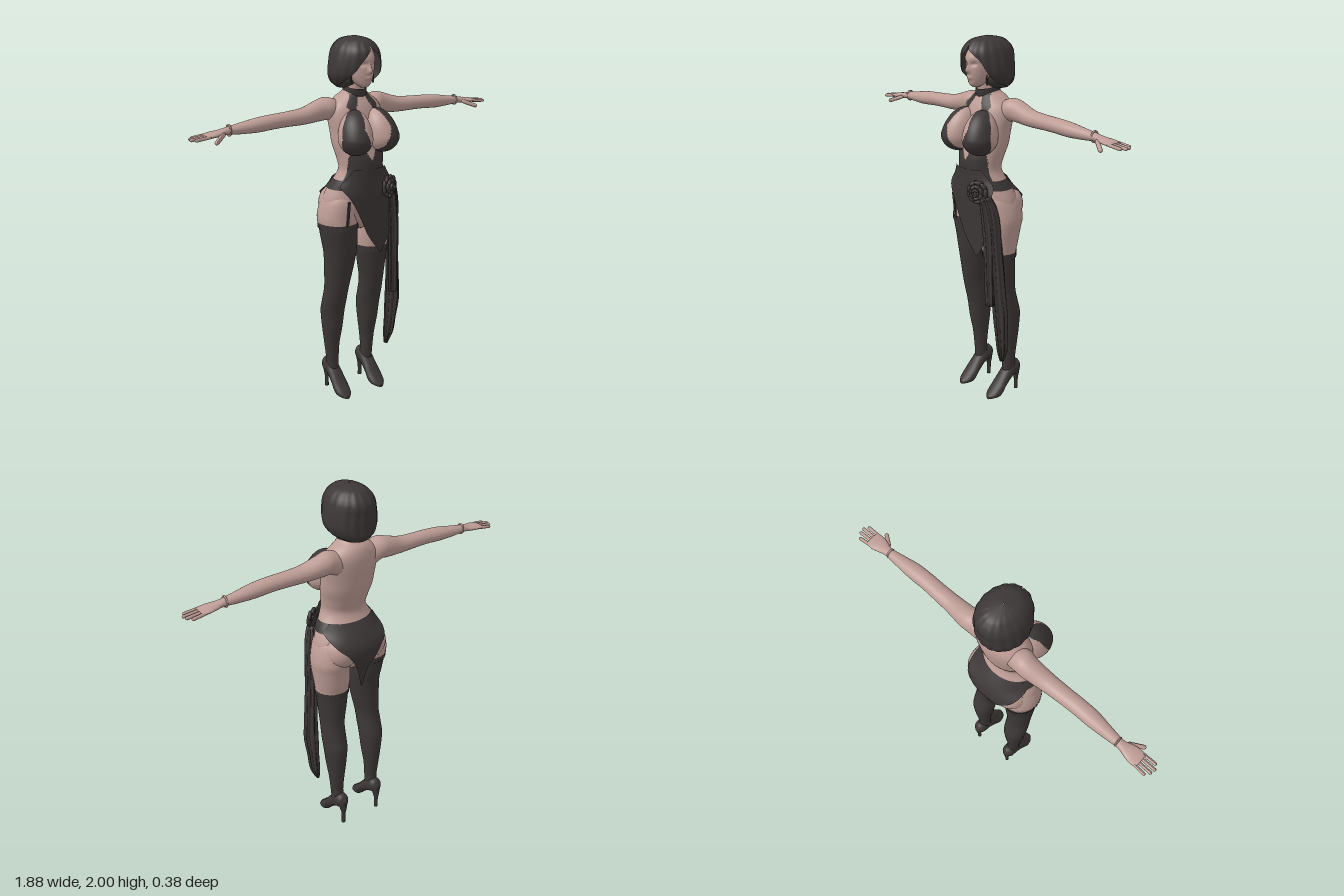
import * as THREE from 'three';

const skin = new THREE.MeshStandardMaterial({ color: 0xbd9c95 });
skin.name = 'skin';
const cloth = new THREE.MeshStandardMaterial({ color: 0x3d3737, side: THREE.DoubleSide });
cloth.name = 'darkCloth';

// piecewise linear lookup in [[key, value], ...] with ascending keys
function lookup(table, k) {
  if (k <= table[0][0]) return table[0][1];
  for (let i = 1; i < table.length; i++) {
    const [a, va] = table[i - 1], [b, vb] = table[i];
    if (k <= b) return va + (vb - va) * (k - a) / (b - a);
  }
  return table[table.length - 1][1];
}

// Catmull-Rom through the rows, column by column
function smoothRows(rows, steps) {
  const out = [];
  const at = i => rows[Math.min(Math.max(i, 0), rows.length - 1)];
  for (let i = 0; i < rows.length - 1; i++)
    for (let k = 0; k < steps; k++) {
      const t = k / steps;
      out.push(at(i).map((p1, c) => {
        const p0 = at(i - 1)[c], p2 = at(i + 1)[c], p3 = at(i + 2)[c];
        return p1 + 0.5 * t * (p2 - p0 + t * (2 * p0 - 5 * p1 + 4 * p2 - p3 + t * (3 * (p1 - p2) + p3 - p0)));
      }));
    }
  out.push(rows[rows.length - 1]);
  return out;
}

function grid(points, n, closed) {
  const index = [], rows = points.length / n;
  for (let i = 0; i < rows - 1; i++)
    for (let j = 0; j < (closed ? n : n - 1); j++) {
      const a = i * n + j, b = i * n + (j + 1) % n;
      index.push(a, b, b + n, a, b + n, a + n);
    }
  const g = new THREE.BufferGeometry().setFromPoints(points);
  g.setIndex(index);
  g.computeVertexNormals();
  return g;
}

// Rows are [t, cx, cz, rx, rz, openLeft, openRight]; the axis says where t points
function loft(rows, { axis = 'y', n = 40, steps = 5, cap = true, pleat = 0, folds = 0 } = {}) {
  let list = smoothRows(rows, steps);
  const open = rows[0].length > 5;
  const shut = r => [r[0], r[1], r[2], 0, 0];
  if (cap && !open) list = [shut(list[0]), ...list, shut(list[list.length - 1])];
  const pts = [];
  for (const [t, cx, cz, rx, rz, o1 = 0, o2 = 0] of list)
    for (let j = 0; j < n; j++) {
      const a = open ? o1 + (2 * Math.PI - o1 - o2) * j / (n - 1) : 2 * Math.PI * j / n;
      const k = 1 + pleat * Math.sin(a * folds);
      const x = cx + rx * k * Math.sin(a), z = cz + rz * k * Math.cos(a);
      pts.push(axis === 'y' ? new THREE.Vector3(x, t, z) : axis === 'x' ? new THREE.Vector3(t, z, x) : new THREE.Vector3(z, x, t));
    }
  return grid(pts, n, !open);
}

// Hanging cloth: rows are [y, xLeft, xRight, rx, rz], curved about the body
function drape(rows, side, n = 24) {
  const pts = [];
  for (const [y, x0, x1, rx, rz] of smoothRows(rows, 6))
    for (let j = 0; j < n; j++) {
      const x = x0 + (x1 - x0) * j / (n - 1);
      pts.push(new THREE.Vector3(x, y, side * rz * Math.sqrt(Math.max(0, 1 - (x / rx) ** 2))));
    }
  return grid(pts, n, false);
}

function mirror(g) {
  const m = g.clone().scale(-1, 1, 1), ix = m.index.array;
  for (let i = 0; i < ix.length; i += 3) [ix[i], ix[i + 1]] = [ix[i + 1], ix[i]];
  m.computeVertexNormals();
  return m;
}

// Split faces into skin and cloth groups by the position of their centre
function paint(g, isCloth) {
  const p = g.attributes.position, ix = g.index.array, lists = [[], []];
  for (let i = 0; i < ix.length; i += 3) {
    const f = [ix[i], ix[i + 1], ix[i + 2]];
    const [x, y, z] = ['getX', 'getY', 'getZ'].map(k => f.reduce((s, v) => s + p[k](v), 0) / 3);
    lists[isCloth(x, y, z) ? 1 : 0].push(...f);
  }
  g.setIndex([...lists[0], ...lists[1]]);
  g.addGroup(0, lists[0].length, 0);
  g.addGroup(lists[0].length, lists[1].length, 1);
  return g;
}

function deform(g, fn) {
  const p = g.attributes.position, v = new THREE.Vector3();
  for (let i = 0; i < p.count; i++) { fn(v.fromBufferAttribute(p, i)); p.setXYZ(i, v.x, v.y, v.z); }
  g.computeVertexNormals();
  return g;
}

// Halter top: plunging neckline, outer edge and side edge
const neckline = [[1.37, 0], [1.45, 0.045], [1.55, 0.083], [1.62, 0.058], [1.7, 0.02]];
const outerEdge = [[1.55, 0.2], [1.57, 0.165], [1.62, 0.12], [1.7, 0.06]];
const sideEdge = [[1.25, 0.04], [1.4, 0.06], [1.5, 0.09], [1.6, 0.06], [1.7, -0.02]];
const inTop = (x, y, z) => y > 1.24 && y < 1.71 && z > lookup(sideEdge, y) && Math.abs(x) < lookup(outerEdge, y)
  && (y < 1.37 || Math.abs(x) > lookup(neckline, y));

export function createModel() {
  const model = new THREE.Group();
  const add = (name, g, m) => {
    const mesh = new THREE.Mesh(g, m);
    mesh.name = name;
    model.add(mesh);
    return mesh;
  };
  const both = [skin, cloth];
  const ball = (x, y, z, rx, ry, rz, n = 32) => new THREE.SphereGeometry(1, n, n * 0.75).scale(rx, ry, rz).translate(x, y, z);

  // Torso and neck
  add('torso', paint(loft([
    [0.98, 0, -0.04, 0.05, 0.05], [1.03, 0, -0.04, 0.14, 0.1], [1.1, 0, -0.035, 0.2, 0.122], [1.16, 0, -0.03, 0.2, 0.128],
    [1.22, 0, -0.018, 0.176, 0.12], [1.26, 0, -0.004, 0.154, 0.112], [1.32, 0, 0.012, 0.126, 0.102], [1.38, 0, 0.003, 0.13, 0.11],
    [1.45, 0, -0.017, 0.145, 0.112], [1.52, 0, -0.03, 0.15, 0.112], [1.6, 0, -0.045, 0.158, 0.106], [1.65, 0, -0.053, 0.145, 0.097],
    [1.69, 0, -0.057, 0.1, 0.08], [1.72, 0, -0.047, 0.06, 0.062], [1.76, 0, -0.035, 0.05, 0.055], [1.82, 0, -0.03, 0.046, 0.05],
  ], { n: 96, steps: 8 }), inTop), both);

  // Head with soft eye sockets, nose, lips and chin
  const bump = (v, x, y, w, h) => Math.exp(-(((v.x - x) / w) ** 2) - ((v.y - y) / h) ** 2);
  add('head', deform(loft([
    [1.745, 0, 0.04, 0.016, 0.018], [1.762, 0, 0.03, 0.036, 0.045], [1.79, 0, 0.015, 0.055, 0.067], [1.82, 0, 0.005, 0.065, 0.083],
    [1.86, 0, 0, 0.071, 0.09], [1.9, 0, -0.005, 0.073, 0.096], [1.95, 0, -0.02, 0.06, 0.08], [1.98, 0, -0.02, 0.03, 0.04],
  ], { n: 64, steps: 8 }), v => {
    if (v.z < 0.03) return;
    v.z += 0.02 * bump(v, 0, 1.832, 0.01, 0.014) + 0.01 * bump(v, 0, 1.855, 0.008, 0.02) + 0.008 * bump(v, 0, 1.795, 0.018, 0.01)
      - 0.011 * bump(v, 0.03, 1.865, 0.016, 0.011) - 0.011 * bump(v, -0.03, 1.865, 0.016, 0.011);
  }), skin);

  // Bob haircut, parted towards its left
  add('hair', loft([
    [1.74, 0, -0.09, 0.075, 0.075, 1.75, 1.75], [1.765, 0, -0.066, 0.112, 0.112, 1.25, 1.15], [1.8, 0, -0.05, 0.132, 0.132, 0.95, 0.8],
    [1.835, 0, -0.043, 0.134, 0.141, 0.82, 0.58], [1.875, 0, -0.04, 0.129, 0.144, 0.68, 0.4], [1.91, 0, -0.04, 0.121, 0.146, 0.45, 0.2],
    [1.935, 0, -0.04, 0.112, 0.139, 0.15, 0.02], [1.96, 0, -0.04, 0.095, 0.12, 0, 0], [1.985, 0, -0.04, 0.062, 0.085, 0, 0],
    [2, 0, -0.04, 0.002, 0.002, 0, 0],
  ], { n: 90, pleat: 0.014, folds: 17 }), cloth);
  add('hairUnderside', loft([[1.735, 0, -0.09, 0.07, 0.07], [1.77, 0, -0.075, 0.095, 0.09], [1.83, 0, -0.07, 0.1, 0.09]]), cloth);

  // Choker, tilted forward
  add('choker', loft([[1.688, 0, -0.045, 0.062, 0.068], [1.715, 0, -0.043, 0.06, 0.068], [1.745, 0, -0.043, 0.058, 0.066]], { cap: false })
    .translate(0, -1.715, 0.04).rotateX(0.18).translate(0, 1.715, -0.04), cloth);

  // Arm with hand
  const arm = loft([
    [0.08, -0.07, 1.6, 0.055, 0.07], [0.15, -0.075, 1.633, 0.061, 0.06], [0.2, -0.08, 1.63, 0.056, 0.056], [0.3, -0.072, 1.612, 0.048, 0.043],
    [0.4, -0.068, 1.608, 0.044, 0.038], [0.48, -0.065, 1.606, 0.043, 0.037], [0.57, -0.065, 1.6, 0.042, 0.036], [0.66, -0.068, 1.594, 0.032, 0.028],
    [0.74, -0.07, 1.59, 0.024, 0.019], [0.78, -0.068, 1.585, 0.034, 0.016], [0.82, -0.068, 1.582, 0.043, 0.014], [0.86, -0.068, 1.578, 0.04, 0.01],
  ], { axis: 'x' });
  const finger = (a, b, r) => {
    const d = new THREE.Vector3(...b).sub(new THREE.Vector3(...a)), up = new THREE.Vector3(0, 1, 0);
    return new THREE.CapsuleGeometry(r, d.length(), 6, 10)
      .applyQuaternion(new THREE.Quaternion().setFromUnitVectors(up, d.clone().normalize()))
      .translate((a[0] + b[0]) / 2, (a[1] + b[1]) / 2, (a[2] + b[2]) / 2);
  };
  const handParts = [-0.1, -0.078, -0.056, -0.035].map((z, i) =>
    finger([0.84, 1.579, z], [[0.905, 0.925, 0.93, 0.915][i], 1.572, z * 1.1 + 0.006], 0.0085));
  handParts.push(finger([0.77, 1.58, -0.04], [0.827, 1.556, 0], 0.011));
  const bracelet = new THREE.TorusGeometry(0.026, 0.005, 8, 28).scale(0.85, 1, 1).rotateY(Math.PI / 2).translate(0.725, 1.592, -0.07);

  for (const s of [1, -1]) {
    const side = s > 0 ? 'left' : 'right', flip = g => (s > 0 ? g : mirror(g));
    add(side + 'Arm', flip(arm), skin);
    handParts.forEach((g, i) => add(side + (i < 4 ? 'Finger' + (i + 1) : 'Thumb'), flip(g), skin));
    add(side + 'Bracelet', flip(bracelet), skin);
    add(side + 'Earring', new THREE.CylinderGeometry(0.003, 0.006, 0.05, 8).translate(s * 0.07, 1.785, 0.025), cloth);

    // Bust: a sphere drawn out upwards into the chest
    add(side + 'Bust', paint(deform(ball(0, 0, 0, 0.086, 0.088, 0.098, 72), v => {
      if (v.y > 0) { v.z -= v.y * 0.35; v.y *= 1.6; v.x -= s * v.y * 0.12; }
      v.x += s * 0.086; v.y += 1.495; v.z += 0.085;
    }), inTop), both);
    add(side + 'Buttock', ball(s * 0.087, 1.12, -0.088, 0.1, 0.1, 0.095), skin);

    // Leg and stocking; the left stocking ends lower
    const top = s > 0 ? 0.86 : 1.02;
    const legRows = [
      [0.13, 0.118, -0.105, 0.035, 0.045], [0.2, 0.12, -0.095, 0.035, 0.037], [0.3, 0.122, -0.095, 0.043, 0.045], [0.4, 0.122, -0.09, 0.056, 0.06],
      [0.5, 0.122, -0.085, 0.066, 0.068], [0.57, 0.121, -0.068, 0.068, 0.067], [0.65, 0.118, -0.05, 0.068, 0.068], [0.75, 0.111, -0.04, 0.08, 0.076],
      [0.85, 0.106, -0.032, 0.091, 0.086], [0.92, 0.108, -0.034, 0.098, 0.097], [1, 0.115, -0.035, 0.103, 0.108], [1.07, 0.115, -0.04, 0.108, 0.115],
      [1.16, 0.105, -0.03, 0.093, 0.105], [1.22, 0.09, -0.02, 0.06, 0.07],
    ].map(r => [r[0], s * r[1], ...r.slice(2)]);
    add(side + 'Leg', paint(loft(legRows, { n: 48, steps: 10 }), (x, y) => y < top), both);
    const cut = c => lookup(legRows.map(r => [r[0], r[c]]), top);
    add(side + 'StockingTop', loft([-0.02, 0, 0.012].map((d, i) =>
      [top + d, cut(1), cut(2), cut(3) + 0.002 + i * 0.001, cut(4) + 0.002 + i * 0.001]), { n: 96, cap: false, pleat: 0.012, folds: 24 }), cloth);

    // High heeled shoe
    add(side + 'Shoe', loft([
      [-0.175, 0.145, s * 0.118, 0.016, 0.014], [-0.15, 0.15, s * 0.118, 0.042, 0.036], [-0.1, 0.135, s * 0.118, 0.05, 0.04],
      [-0.05, 0.088, s * 0.118, 0.046, 0.043], [-0.01, 0.044, s * 0.118, 0.042, 0.047], [0.03, 0.023, s * 0.118, 0.022, 0.037],
      [0.055, 0.011, s * 0.118, 0.01, 0.014],
    ], { axis: 'z' }), cloth);
    add(side + 'Heel', loft([[0, s * 0.118, -0.156, 0.011, 0.011], [0.06, s * 0.118, -0.156, 0.011, 0.012],
      [0.1, s * 0.118, -0.153, 0.019, 0.021], [0.14, s * 0.118, -0.146, 0.03, 0.03]], { n: 20 }), cloth);
  }

  // Hip band, front apron and rear panel
  add('hipBand', loft([[1.222, 0, -0.016, 0.18, 0.126], [1.245, 0, -0.008, 0.168, 0.122], [1.272, 0, 0.002, 0.152, 0.114]], { cap: false, n: 64 }), cloth);
  add('frontApron', drape([[0.855, 0.066, 0.074, 0.3, 0.1], [0.96, -0.015, 0.14, 0.28, 0.105], [1.06, -0.065, 0.165, 0.27, 0.11],
    [1.13, -0.1, 0.175, 0.26, 0.115], [1.19, -0.135, 0.172, 0.24, 0.118], [1.24, -0.168, 0.168, 0.2, 0.118], [1.28, -0.14, 0.14, 0.17, 0.118],
    [1.33, -0.1, 0.1, 0.15, 0.12]], 1), cloth);
  add('rearPanel', drape([[0.9, -0.004, 0.004, 0.3, 0.158], [1, -0.03, 0.03, 0.3, 0.168], [1.06, -0.06, 0.06, 0.3, 0.188],
    [1.12, -0.1, 0.1, 0.3, 0.197], [1.17, -0.15, 0.15, 0.27, 0.187], [1.22, -0.172, 0.172, 0.19, 0.158], [1.275, -0.14, 0.14, 0.16, 0.114]], -1), cloth);
  add('garterStrap', new THREE.BoxGeometry(0.012, 0.15, 0.008).rotateX(0.12).translate(-0.13, 1.09, 0.082), cloth);

  // Rosette: rings of overlapping petals
  const rosette = new THREE.Group();
  rosette.name = 'rosette';
  [[9, 0.05, 0.026, 0], [7, 0.031, 0.021, 0.012], [5, 0.015, 0.014, 0.022]].forEach(([count, r, size, z], ring) => {
    for (let i = 0; i < count; i++) {
      const a = (i + ring * 0.4) / count * Math.PI * 2;
      const petal = new THREE.Mesh(ball(0, 0, 0, size * 0.5, size, 0.011, 12), cloth);
      petal.name = 'petal';
      petal.position.set(r * Math.cos(a), r * Math.sin(a), z);
      petal.rotation.set(0, 0.45, a);
      rosette.add(petal);
    }
  });
  rosette.position.set(0.108, 1.222, 0.122);
  rosette.rotation.y = 0.3;
  model.add(rosette);

  // Pleated sash falling from the rosette
  add('longSash', loft([[0.25, 0.182, 0.01, 0.008, 0.012], [0.32, 0.193, 0.018, 0.026, 0.025], [0.42, 0.197, 0.028, 0.03, 0.03],
    [0.53, 0.2, 0.038, 0.038, 0.034], [0.65, 0.196, 0.045, 0.032, 0.036], [0.9, 0.182, 0.056, 0.026, 0.034], [1.1, 0.172, 0.07, 0.026, 0.034],
    [1.2, 0.15, 0.095, 0.02, 0.022]], { n: 60, pleat: 0.16, folds: 7 }), cloth);
  add('shortSash', loft([[0.6, 0.168, 0.088, 0.026, 0.017], [0.8, 0.165, 0.09, 0.026, 0.019], [1, 0.16, 0.094, 0.028, 0.02],
    [1.2, 0.135, 0.105, 0.022, 0.018]], { n: 48, pleat: 0.18, folds: 6 }), cloth);
  return model;
}
